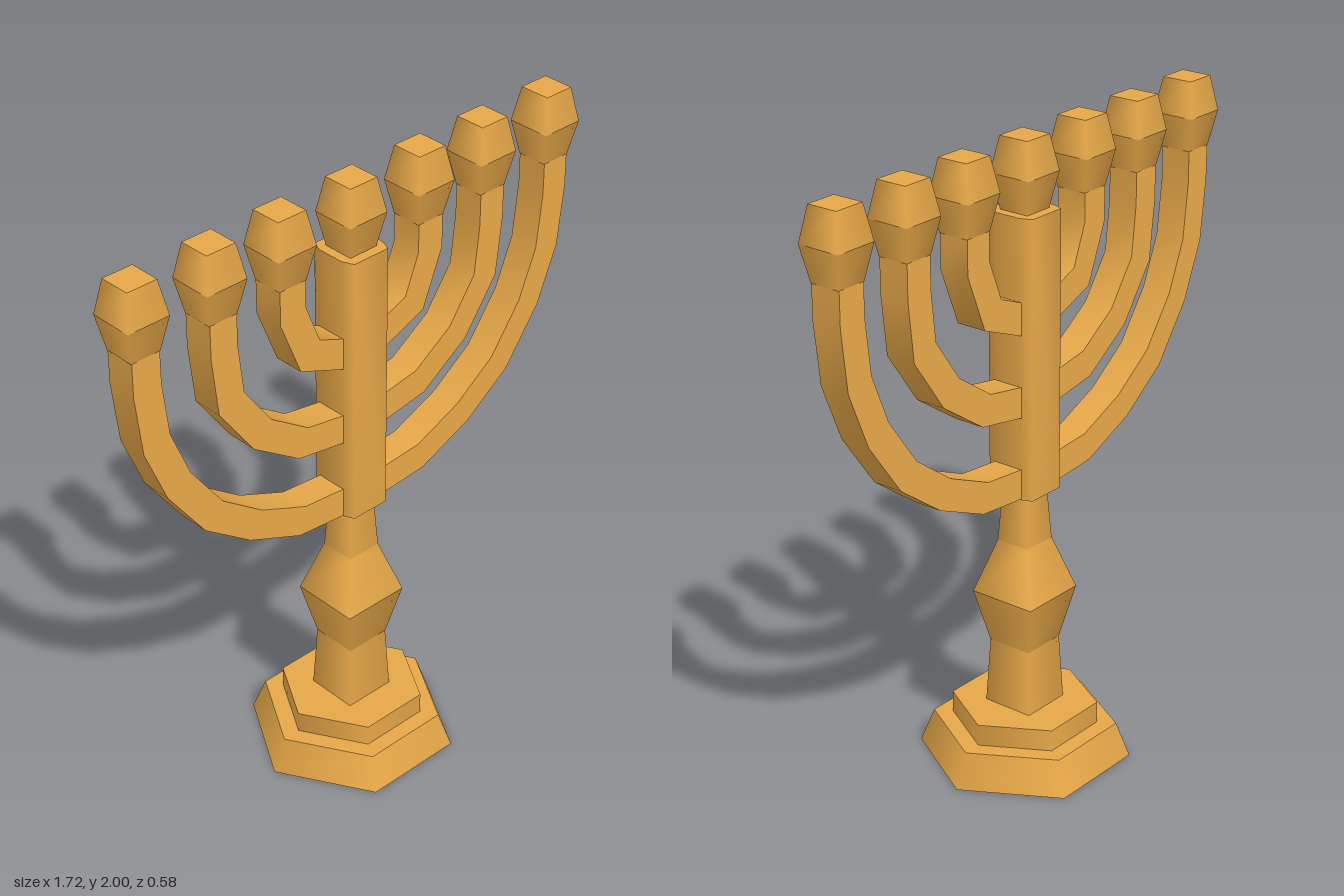
import * as THREE from 'three';
import { toCreasedNormals } from 'three/addons/utils/BufferGeometryUtils.js';

const gold = new THREE.MeshStandardMaterial({ color: 0xe6a748 });
const felt = new THREE.MeshStandardMaterial({ color: 0xcccccc });
gold.name = 'gold';
felt.name = 'pale grey felt';

// Smooth along bends and chamfers, sharp at square corners
const CREASE = 1.25;

function part(name, geometry, material = gold) {
  const mesh = new THREE.Mesh(geometry, material);
  mesh.name = name;
  return mesh;
}

// Few-sided tier, shaded smoothly around its axis
function tier(sides, bottomRadius, topRadius, y0, y1) {
  return new THREE.CylinderGeometry(topRadius, bottomRadius, y1 - y0, sides)
    .rotateY(Math.PI / sides)
    .translate(0, (y0 + y1) / 2, 0);
}

// Square-section stack of tiers from [half width, height] pairs, bottom to top
function squareStack(name, profile) {
  const group = new THREE.Group();
  group.name = name;
  for (let i = 1; i < profile.length; i++) {
    const [w0, y0] = profile[i - 1], [w1, y1] = profile[i];
    group.add(part(`${name}Tier${i}`, tier(4, w0 * Math.SQRT2, w1 * Math.SQRT2, y0, y1)));
  }
  return group;
}

// Square bar following a centre line in the x-y plane, with mitred bends
function bar(path, half, depth) {
  const pts = path.map(([x, y]) => new THREE.Vector2(x, y));
  const normal = (a, b) => new THREE.Vector2(a.y - b.y, b.x - a.x).normalize();
  const left = [], right = [];
  pts.forEach((p, i) => {
    const n1 = normal(pts[Math.max(i - 1, 0)], pts[Math.max(i, 1)]);
    const n2 = i < pts.length - 1 ? normal(p, pts[i + 1]) : n1;
    const m = n1.clone().add(n2).normalize();
    m.multiplyScalar(half / m.dot(n1));
    left.push(p.clone().add(m));
    right.unshift(p.clone().sub(m));
  });
  const solid = new THREE.ExtrudeGeometry(
    new THREE.Shape([...left, ...right]), { depth, bevelEnabled: false },
  ).translate(0, 0, -depth / 2);
  return toCreasedNormals(solid, CREASE);
}

// Arm centre lines, from the column out to the cup
const arms = {
  inner: [[0.05, 1.463], [0.205, 1.525], [0.267, 1.68], [0.267, 1.79]],
  middle: [[0.05, 1.209], [0.235, 1.24], [0.39, 1.345], [0.5, 1.5], [0.52, 1.675], [0.52, 1.79]],
  outer: [[0.05, 0.949], [0.242, 0.965], [0.422, 1.042], [0.578, 1.155], [0.698, 1.32],
    [0.768, 1.49], [0.79, 1.675], [0.79, 1.79]],
};

export function createModel() {
  const model = new THREE.Group();
  model.name = 'sevenBranchCandelabrum';

  // Stepped six-sided base with a felt underside
  model.add(part('baseLower', tier(6, 0.332, 0.288, 0, 0.11), [gold, gold, felt]));
  model.add(part('baseUpper', tier(6, 0.228, 0.228, 0.11, 0.18)));

  // Square stem with a swollen knop
  model.add(squareStack('stem', [
    [0.085, 0.18], [0.075, 0.39], [0.112, 0.56], [0.058, 0.73], [0.048, 0.89],
  ]));

  // Central column with chamfered corners
  const section = [[0.08, 0.045], [0.065, 0.082], [-0.065, 0.082], [-0.08, 0.045],
    [-0.08, -0.045], [-0.065, -0.082], [0.065, -0.082], [0.08, -0.045]];
  const column = new THREE.ExtrudeGeometry(
    new THREE.Shape(section.map(([x, y]) => new THREE.Vector2(x, y))),
    { depth: 0.88, bevelEnabled: false },
  ).rotateX(-Math.PI / 2).translate(0, 0.9, 0);
  model.add(part('column', toCreasedNormals(column, CREASE)));

  // Candle cups
  const addCup = (name, x) => {
    const cup = squareStack(name, [[0.05, 1.78], [0.071, 1.89], [0.051, 2]]);
    cup.position.x = x;
    model.add(cup);
  };
  addCup('centreCup', 0);

  // Paired arms
  for (const [size, path] of Object.entries(arms)) {
    const x = path[path.length - 1][0];
    for (const [side, sign] of [['Left', 1], ['Right', -1]]) {
      const arm = part(`${size}Arm${side}`, bar(path, 0.048, 0.1));
      if (sign < 0) arm.rotation.y = Math.PI;
      model.add(arm);
      addCup(`${size}Cup${side}`, sign * x);
    }
  }
  return model;
}
